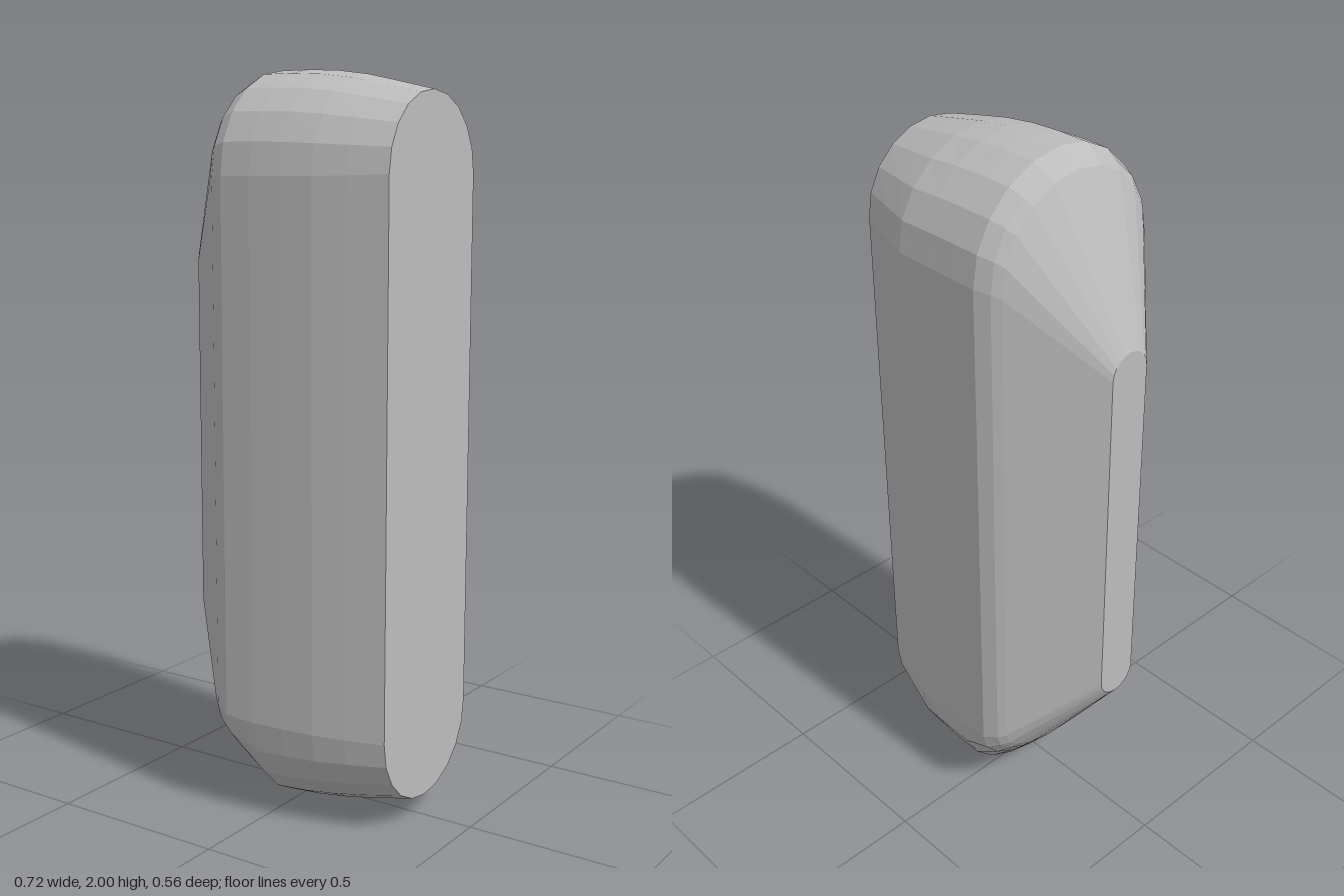
import * as THREE from 'three';

// Cross-sections along x: [x, front z, back z, bottom, bottom spring line, top spring line, top]
const SECTIONS = [
  [-0.36, 0.06, 0.06, 0.45, 0.51, 1.49, 1.55],
  [-0.17, 0.245, 0.245, 0.185, 0.30, 1.71, 1.96],
  [-0.15, 0.262, 0.262, 0.16, 0.29, 1.72, 1.98],
  [-0.11, 0.277, 0.28, 0.11, 0.275, 1.725, 2.0],
  [-0.02, 0.276, 0.28, 0.0, 0.27, 1.725, 2.0],
  [0.07, 0.27, 0.28, 0.007, 0.27, 1.725, 1.995],
  [0.16, 0.26, 0.279, 0.02, 0.27, 1.725, 1.983],
  [0.25, 0.241, 0.249, 0.037, 0.27, 1.727, 1.964],
  [0.357, 0.213, 0.213, 0.06, 0.27, 1.73, 1.94],
];
const ARC = 10;

// Upright slot outline: a half-round top and a half-round bottom joined by straight sides
function outline([x, front, back, bottom, springLow, springHigh, top]) {
  const points = [];
  for (let half = 0; half < 2; half++) {
    for (let i = 0; i <= ARC; i++) {
      const angle = Math.PI * (half + i / ARC);
      const c = Math.cos(angle), s = Math.sin(angle);
      const y = half ? springLow + s * (springLow - bottom) : springHigh + s * (top - springHigh);
      points.push([x, y, c * (c > 0 ? front : back)]);
    }
  }
  return points;
}

function meshFrom(triangles, material, name) {
  const geometry = new THREE.BufferGeometry();
  geometry.setAttribute('position', new THREE.Float32BufferAttribute(triangles.flat(2), 3));
  geometry.computeVertexNormals();
  const mesh = new THREE.Mesh(geometry, material);
  mesh.name = name;
  return mesh;
}

export function createModel() {
  const group = new THREE.Group();
  group.name = 'slottedBlock';
  const grey = new THREE.MeshStandardMaterial({ color: 0xbcbcbc, flatShading: true });
  grey.name = 'plain grey';
  const rings = SECTIONS.map(outline);
  const count = rings[0].length;

  // Faceted shell lofted through the outlines
  const shell = [], leftEnd = [], rightEnd = [];
  for (let s = 0; s < rings.length - 1; s++) {
    for (let i = 0; i < count; i++) {
      const j = (i + 1) % count;
      const a = rings[s][i], b = rings[s][j], c = rings[s + 1][i], d = rings[s + 1][j];
      shell.push([a, c, b], [b, c, d]);
    }
  }

  // Flat end faces
  const first = rings[0], last = rings[rings.length - 1];
  for (let i = 0; i < count; i++) {
    const j = (i + 1) % count;
    rightEnd.push([[first[0][0], 1, 0], first[i], first[j]]);
    leftEnd.push([[last[0][0], 1, 0], last[j], last[i]]);
  }

  group.add(
    meshFrom(shell, grey, 'shell'),
    meshFrom(leftEnd, grey, 'leftEndFace'),
    meshFrom(rightEnd, grey, 'rightEndFace'),
  );
  return group;
}
